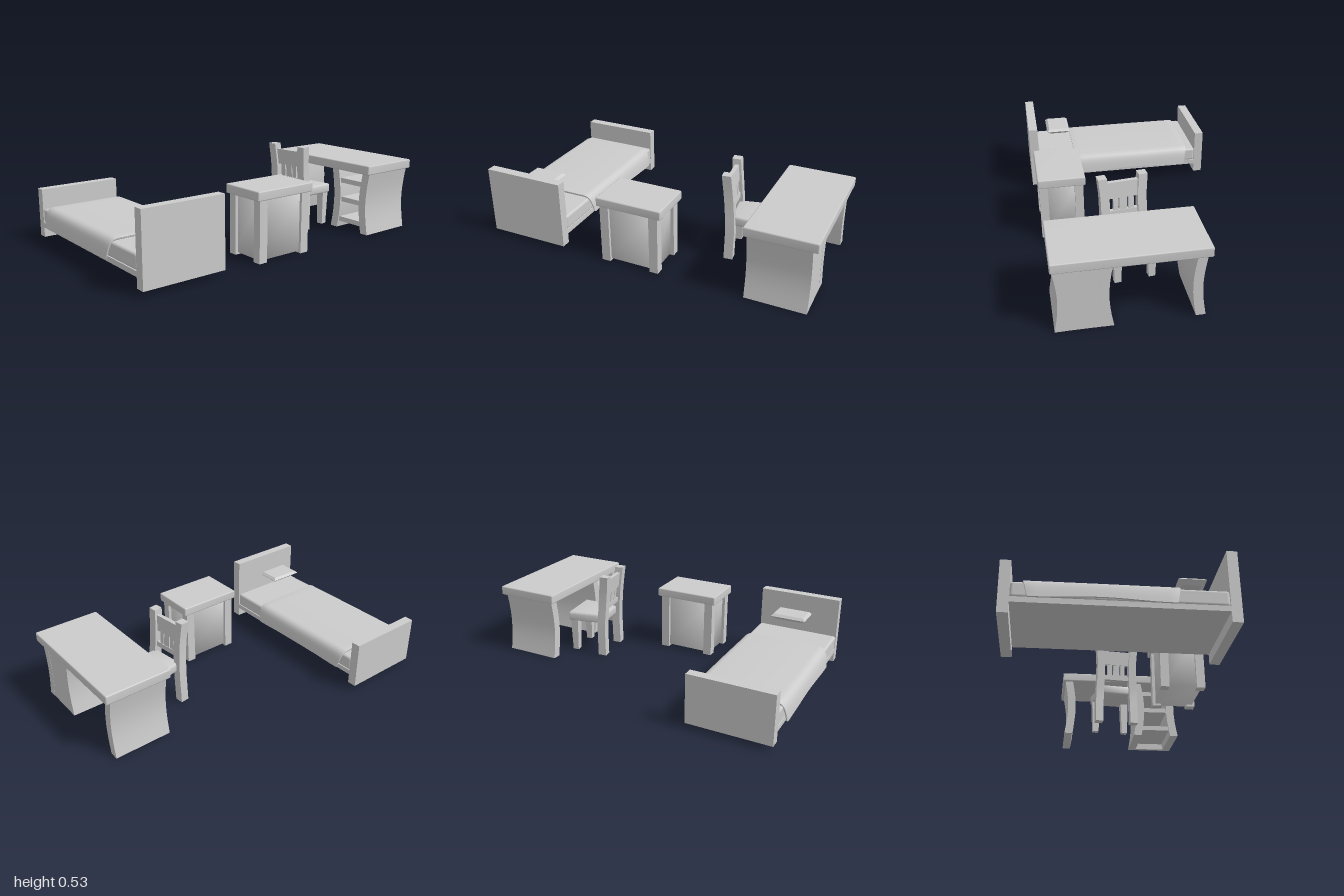
import * as THREE from 'three';
import { mergeVertices, toCreasedNormals } from 'three/addons/utils/BufferGeometryUtils.js';
import { RoundedBoxGeometry } from 'three/addons/geometries/RoundedBoxGeometry.js';

const grey = new THREE.MeshStandardMaterial({ color: 0xcccccc, side: THREE.DoubleSide });

function add(parent, name, geometry) {
  const mesh = new THREE.Mesh(geometry, grey);
  mesh.name = name;
  parent.add(mesh);
  return mesh;
}

function group(parent, name) {
  const g = new THREE.Group();
  g.name = name;
  parent.add(g);
  return g;
}

// Box between two x, y and z limits
function span(x0, x1, y0, y1, z0, z1, ySegments = 1) {
  return new THREE.BoxGeometry(x1 - x0, y1 - y0, z1 - z0, 1, ySegments, 1)
    .translate((x0 + x1) / 2, (y0 + y1) / 2, (z0 + z1) / 2);
}

function roundSpan(x0, x1, y0, y1, z0, z1, r, segments) {
  return new RoundedBoxGeometry(x1 - x0, y1 - y0, z1 - z0, segments, r)
    .translate((x0 + x1) / 2, (y0 + y1) / 2, (z0 + z1) / 2);
}

// Share normals across edges for a soft shaded look
function soften(geometry) {
  geometry.deleteAttribute('normal');
  geometry.deleteAttribute('uv');
  const merged = mergeVertices(geometry, 1e-4);
  merged.computeVertexNormals();
  return merged;
}

// Move every vertex by a rule, then rebuild the normals
function shape(geometry, rule, crease = 0.6) {
  const p = geometry.attributes.position;
  const v = new THREE.Vector3();
  for (let i = 0; i < p.count; i++) {
    rule(v.fromBufferAttribute(p, i));
    p.setXYZ(i, v.x, v.y, v.z);
  }
  return toCreasedNormals(geometry, crease);
}

// Linear look-up in a list of [y, value] pairs
function sample(table, y) {
  for (let i = 1; i < table.length; i++) {
    const [y0, a] = table[i - 1], [y1, b] = table[i];
    if (y <= y1) return a + (b - a) * (y - y0) / (y1 - y0);
  }
  return table[table.length - 1][1];
}

function buildBed(parent) {
  const bed = group(parent, 'bed');
  add(bed, 'headboard', span(0.53, 0.585, 0.03, 0.432, 0.485, 0.972));
  add(bed, 'footboard', span(-0.585, -0.53, 0.03, 0.317, 0.485, 0.972));
  add(bed, 'bedBase', span(-0.53, 0.53, 0.088, 0.118, 0.485, 0.972));
  add(bed, 'mattress', roundSpan(-0.53, 0.53, 0.116, 0.202, 0.485, 0.972, 0.015, 3));

  // Blanket: a thin curved band, drawn across the bed and run along it
  const band = new THREE.Shape();
  band.moveTo(-0.27, 0.115);
  band.bezierCurveTo(-0.262, 0.19, -0.25, 0.22, -0.205, 0.22);
  band.lineTo(0.205, 0.22);
  band.bezierCurveTo(0.25, 0.22, 0.262, 0.19, 0.27, 0.115);
  band.lineTo(0.26, 0.115);
  band.bezierCurveTo(0.252, 0.18, 0.242, 0.206, 0.205, 0.206);
  band.lineTo(-0.205, 0.206);
  band.bezierCurveTo(-0.242, 0.206, -0.252, 0.18, -0.26, 0.115);
  const blanket = new THREE.ExtrudeGeometry(band, {
    depth: 0.75, steps: 16, curveSegments: 8,
    bevelEnabled: true, bevelThickness: 0.007, bevelSize: 0.003, bevelOffset: -0.003, bevelSegments: 2,
  });
  blanket.translate(0, 0, -0.375).rotateY(Math.PI / 2);
  add(bed, 'blanket', shape(blanket, (v) => {
    const drop = Math.max(0, (0.22 - v.y) / 0.105);
    v.y += drop * 0.006 * Math.cos(v.x * 9);
    v.x = v.x * (1 - 0.06 * drop) - 0.09;
    v.z += 0.726;
  }));

  // Pillow: bevelled above and below
  const pillow = new THREE.BoxGeometry(0.15, 2, 0.21, 1, 2, 1);
  add(bed, 'pillow', shape(pillow, (v) => {
    const inset = v.y > 0.5 ? 0.015 : v.y < -0.5 ? 0.025 : 0;
    v.x += 0.385 - Math.sign(v.x) * inset;
    v.z += 0.725 - Math.sign(v.z) * inset;
    v.y = v.y > 0.5 ? 0.36 : v.y < -0.5 ? 0.325 : 0.346;
  }, 0.2));
}

function buildNightstand(parent) {
  const stand = group(parent, 'nightstand');
  add(stand, 'nightstandTop', soften(roundSpan(0.295, 0.572, 0.348, 0.402, -0.142, 0.255, 0.007, 1)));
  add(stand, 'nightstandBody', soften(span(0.325, 0.548, 0.012, 0.35, -0.1, 0.218)));
  for (const x of [0.307, 0.514])
    for (const z of [-0.12, 0.183])
      add(stand, 'nightstandLeg', span(x, x + 0.05, 0, 0.35, z, z + 0.053));
}

function buildDesk(parent) {
  const desk = group(parent, 'desk');
  const bow = (y) => 0.022 * Math.sin(Math.PI * y / 0.38);
  add(desk, 'deskTop', soften(roundSpan(-0.226, 0.573, 0.376, 0.432, -1, -0.605, 0.007, 1)));

  // Side walls curve towards the middle of their height
  const wall = (name, x, direction) => add(desk, name,
    shape(span(x, x + 0.052, 0, 0.38, -0.97, -0.625, 10), (v) => { v.x += direction * bow(v.y); }));
  wall('deskSidePanel', -0.21, 1);
  wall('pedestalInnerWall', 0.265, 1);
  wall('pedestalOuterWall', 0.513, -1);

  // Back follows the same curve on both edges
  add(desk, 'pedestalBack', shape(span(0.267, 0.563, 0, 0.38, -0.969, -0.94, 10), (v) => {
    v.x -= Math.sign(v.x - 0.415) * bow(v.y);
  }));
  for (const y of [0.04, 0.17, 0.29])
    add(desk, 'pedestalShelf', span(0.305, 0.525, y, y + 0.03, -0.95, -0.635));
}

function buildChair(parent) {
  const chair = group(parent, 'chair');
  chair.position.set(0.12, 0, -0.39);
  chair.rotation.y = 0.12;
  const lean = [[0, -0.01], [0.2, -0.014], [0.35, -0.003], [0.53, 0.015]];
  const splay = [[0, 0.115], [0.2, 0.112], [0.32, 0.106], [0.42, 0.106], [0.53, 0.115]];

  // Back posts, curved in and leaning back
  for (const side of [-1, 1])
    add(chair, 'backPost', shape(span(-0.025, 0.025, 0, 0.528, -0.026, 0.026, 12), (v) => {
      v.x += side * sample(splay, v.y);
      v.z += sample(lean, v.y);
    }));

  // Back rails and slats lean with the posts
  const backPart = (name, x0, x1, y0, y1, depth) => add(chair, name,
    shape(span(x0, x1, y0, y1, -depth / 2, depth / 2, 3), (v) => { v.z += sample(lean, v.y); }));
  backPart('topRail', -0.1, 0.1, 0.4, 0.495, 0.024);
  backPart('lowerRail', -0.1, 0.1, 0.295, 0.326, 0.024);
  for (const [x, w] of [[-0.046, 0.031], [0, 0.043], [0.042, 0.029]])
    backPart('slat', x - w / 2, x + w / 2, 0.32, 0.405, 0.018);

  // Seat widens towards the front
  add(chair, 'seat', shape(roundSpan(-0.1, 0.1, 0.203, 0.262, -0.25, -0.01, 0.012, 2), (v) => {
    v.x *= 1.02 - 1.15 * v.z;
  }));

  // Front legs taper downwards
  for (const side of [-1, 1])
    add(chair, 'frontLeg', shape(span(-0.025, 0.025, 0, 0.22, -0.025, 0.025), (v) => {
      const k = 0.75 + 0.25 * v.y / 0.22;
      v.x = v.x * k + side * 0.098;
      v.z = v.z * k - 0.212;
    }));
}

export function createModel() {
  const model = new THREE.Group();
  model.name = 'bedroomSet';
  buildBed(model);
  buildNightstand(model);
  buildDesk(model);
  buildChair(model);
  return model;
}
